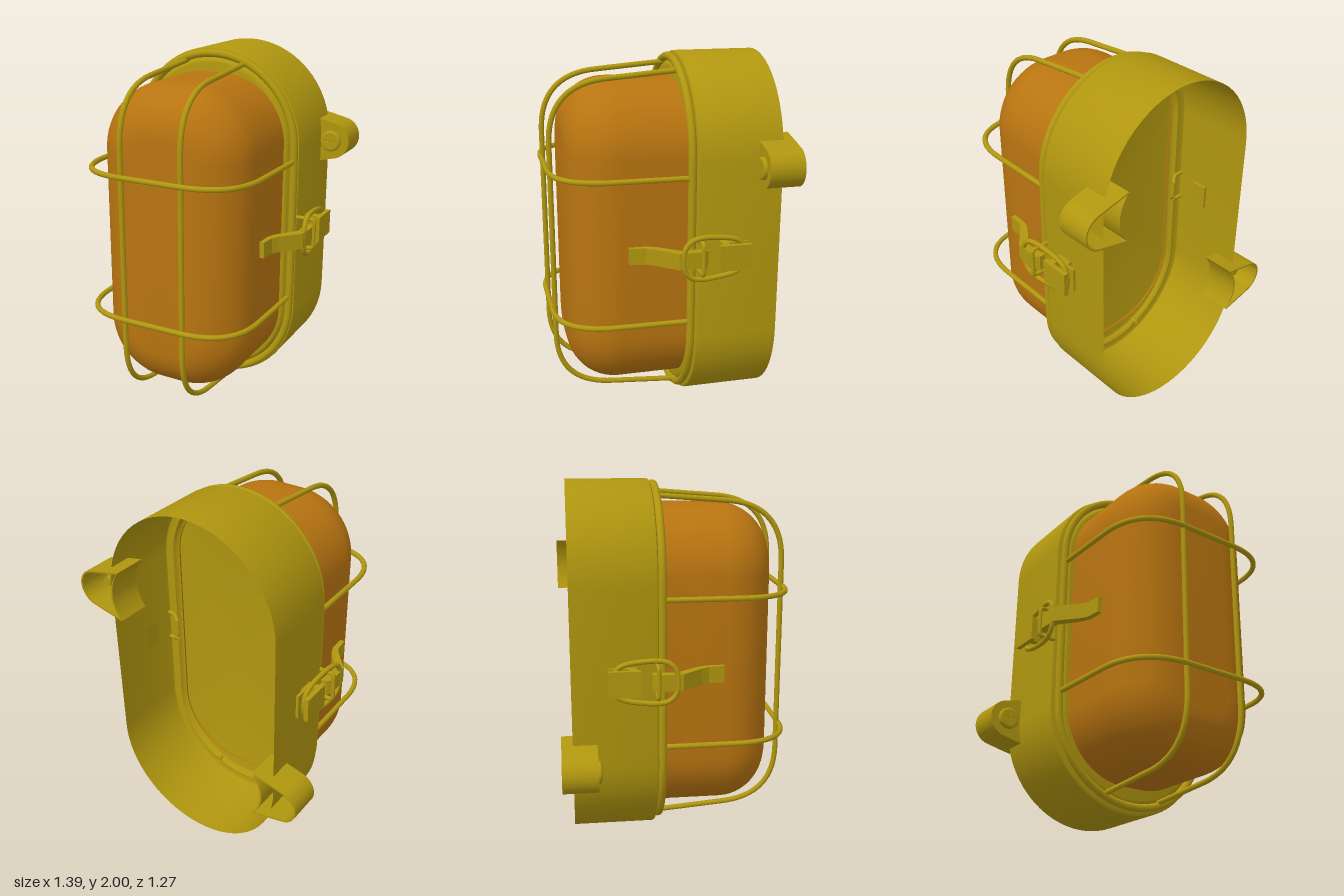
import * as THREE from 'three';
import { toCreasedNormals } from 'three/addons/utils/BufferGeometryUtils.js';

const olive = new THREE.MeshStandardMaterial({ color: 0xb0960f, side: THREE.DoubleSide });
const amber = new THREE.MeshStandardMaterial({ color: 0xb87410, side: THREE.DoubleSide });

function part(name, geometry, material = olive) {
  const mesh = new THREE.Mesh(geometry, material);
  mesh.name = name;
  return mesh;
}

// Rounded rectangle outline, counter-clockwise, as 3D points at depth z
function outline(hw, hh, r, z, n = 16) {
  const pts = [];
  [[1, 1], [-1, 1], [-1, -1], [1, -1]].forEach(([sx, sy], k) => {
    for (let i = 0; i <= n; i++) {
      const a = (k + i / n) * Math.PI / 2;
      pts.push(new THREE.Vector3(sx * (hw - r) + r * Math.cos(a), sy * (hh - r) + r * Math.sin(a), z));
    }
  });
  return pts;
}

// Skin over outlines inset step by step: profile holds [inset, z]; the end is closed flat
function loft(hw, hh, r, profile) {
  const rings = profile.map(([d, z]) => outline(hw - d, hh - d, Math.max(r - d, 0.01), z));
  const zEnd = profile[profile.length - 1][1];
  rings.push(outline(0, 0, 0, zEnd));
  const m = rings[0].length, index = [];
  for (let i = 0; i < rings.length - 1; i++) {
    for (let j = 0; j < m; j++) {
      const a = i * m + j, b = i * m + (j + 1) % m;
      index.push(a, b, b + m);
      if (i < rings.length - 2) index.push(a, b + m, a + m);
    }
  }
  // the closing fan joins each edge to the centre
  const g = new THREE.BufferGeometry().setFromPoints(rings.flat());
  g.setIndex(index);
  return toCreasedNormals(g, 0.6);
}

// Polyline with rounded corners, swept as round wire
function wire(points, radius, fillet, segments = 80) {
  const v = points.map((p) => new THREE.Vector3(...p));
  const path = new THREE.CurvePath();
  let from = v[0];
  for (let i = 1; i < v.length - 1; i++) {
    const a = v[i].clone().add(v[i - 1].clone().sub(v[i]).setLength(fillet));
    const b = v[i].clone().add(v[i + 1].clone().sub(v[i]).setLength(fillet));
    path.add(new THREE.LineCurve3(from, a));
    path.add(new THREE.QuadraticBezierCurve3(a, v[i], b));
    from = b;
  }
  path.add(new THREE.LineCurve3(from, v[v.length - 1]));
  return new THREE.TubeGeometry(path, segments, radius, 10, false);
}

function closedWire(pts, radius, segments) {
  return new THREE.TubeGeometry(new THREE.CatmullRomCurve3(pts, true), segments, radius, 10, true);
}

// Flat profile in (x, z), given thickness along y and centred on y = 0
function extrudeY(points, height) {
  const shape = new THREE.Shape(points.map(([x, z]) => new THREE.Vector2(x, z)));
  const g = new THREE.ExtrudeGeometry(shape, { depth: height, bevelEnabled: false });
  return g.rotateX(Math.PI / 2).translate(0, height / 2, 0);
}

// Flared outline of a mounting ear, inset by t; the inner end is concave
function earOutline(t, Type) {
  const s = new Type();
  s.moveTo(0.42 + t, 0.145 - t);
  s.lineTo(0.53, 0.122 - t);
  s.absarc(0.59, 0, 0.105 - t, 1.3, -1.3, true);
  s.lineTo(0.53, -0.122 + t);
  s.lineTo(0.42 + t, -0.145 + t);
  s.quadraticCurveTo(0.52 + t, 0, 0.42 + t, 0.145 - t);
  return s;
}

function mountingEar() {
  const g = new THREE.Group();
  g.name = 'mountingEar';
  const flat = { bevelEnabled: false, curveSegments: 24 };
  const walls = earOutline(0, THREE.Shape);
  walls.holes.push(earOutline(0.01, THREE.Path));
  g.add(part('earWalls', toCreasedNormals(
    new THREE.ExtrudeGeometry(walls, { ...flat, depth: 0.19 }).translate(0, 0, -0.64), 0.5)));
  g.add(part('earFace', new THREE.ExtrudeGeometry(earOutline(0.001, THREE.Shape), { ...flat, depth: 0.01 })
    .translate(0, 0, -0.461)));

  // Screw head with a cross recess
  const head = new THREE.Shape().absarc(0, 0, 0.045, 0, Math.PI * 2);
  const w = 0.007, l = 0.036;
  head.holes.push(new THREE.Path([[w, w], [w, l], [-w, l], [-w, w], [-l, w], [-l, -w], [-w, -w], [-w, -l],
    [w, -l], [w, -w], [l, -w], [l, w]].map(([x, y]) => new THREE.Vector2(x, y))));
  const headGeo = new THREE.ExtrudeGeometry(head, {
    depth: 0.008, bevelThickness: 0.012, bevelSize: 0.015, bevelSegments: 4, curveSegments: 24,
  });
  // keep the recess open by shaping only the outer rim
  g.add(part('screwHead', headGeo.translate(0.59, 0, -0.45)));
  g.add(part('screwShank', new THREE.CylinderGeometry(0.025, 0.025, 0.1, 16).rotateX(Math.PI / 2)
    .translate(0.59, 0, -0.5)));
  return g;
}

function latch() {
  const g = new THREE.Group();
  g.name = 'latch';
  // Hook plate fixed to the housing
  g.add(part('hookPlate', extrudeY([[0.515, -0.33], [0.54, -0.33], [0.54, -0.39], [0.555, -0.39], [0.555, -0.28],
    [0.59, -0.28], [0.59, -0.39], [0.615, -0.39], [0.615, -0.22], [0.59, -0.22], [0.585, -0.24],
    [0.515, -0.24]], 0.14)));
  // Wire bail
  const half = [[0.595, 0.06, -0.035], [0.59, 0.105, -0.08], [0.58, 0.112, -0.2], [0.573, 0.07, -0.345]];
  const loop = [...half, ...half.map(([x, y, z]) => [x, -y, z]).reverse()];
  g.add(part('bail', closedWire(loop.map((p) => new THREE.Vector3(...p)), 0.014, 64)));
  // Lever, bent toward the glass
  g.add(part('lever', extrudeY([[0.555, -0.16], [0.59, -0.16], [0.61, -0.13], [0.605, 0], [0.58, 0.03], [0.51, 0.11],
    [0.485, 0.15], [0.477, 0.235], [0.45, 0.235], [0.455, 0.14], [0.475, 0.09], [0.565, -0.03]], 0.09)));
  // Staple through the housing wall that carries the lever
  g.add(part('hingeStaple', wire([[0.44, 0.06, -0.15], [0.47, 0.085, -0.13], [0.615, 0.085, -0.13],
    [0.615, -0.085, -0.13], [0.47, -0.085, -0.13], [0.44, -0.06, -0.15]], 0.012, 0.018, 60)));
  return g;
}

export function createModel() {
  const model = new THREE.Group();
  model.name = 'bulkheadLamp';
  const base = new THREE.Group(), front = new THREE.Group();
  base.name = 'base';
  front.name = 'front';
  base.position.set(0.003, 1, 0);
  front.position.set(0.011, 1.007, 0);
  model.add(base, front);

  // Housing, open at the back, with a raised floor
  base.add(part('housing', loft(0.523, 1, 0.523, [[0, -0.58], [0, -0.135], [0.004, -0.125], [0.015, -0.12],
    [0.05, -0.12], [0.055, -0.112], [0.06, -0.1], [0.07, -0.092], [0.08, -0.09]])));

  // Ears at opposite corners
  for (const side of [0, 1]) {
    const ear = mountingEar();
    ear.rotation.z = side * Math.PI;
    ear.position.set(-0.006, side ? -0.475 : 0.465, 0);
    base.add(ear);
  }

  // Glass dome with a rounded front edge
  const dome = [[0, -0.1], [0, 0.1]];
  for (let i = 0; i <= 12; i++) {
    const a = i / 12 * Math.PI / 2;
    dome.push([0.27 * (1 - Math.cos(a)), 0.26 + 0.27 * Math.sin(a)]);
  }
  front.add(part('glass', loft(0.435, 0.862, 0.37, dome), amber));

  // Cage: base ring, two upright bars and two cross bars
  const ring = outline(0.492, 0.964, 0.4915, -0.097, 12);
  front.add(part('cageRing', closedWire(ring, 0.022, 160)));
  for (const x of [-0.178, 0.178]) {
    front.add(part('uprightBar', wire([[x, 0.917, -0.13], [x, 0.858, 0.602], [x, -0.858, 0.602],
      [x, -0.917, -0.13]], 0.015, 0.31)));
  }
  for (const y of [0.403, -0.403]) {
    front.add(part('crossBar', wire([[-0.488, y, -0.1], [-0.478, y, 0.615], [0.478, y, 0.615],
      [0.488, y, -0.1]], 0.015, 0.31)));
  }

  // Latches on both sides
  for (const side of [1, -1]) {
    const l = latch();
    l.scale.x = side;
    l.position.y = -0.007;
    front.add(l);
  }
  return model;
}
